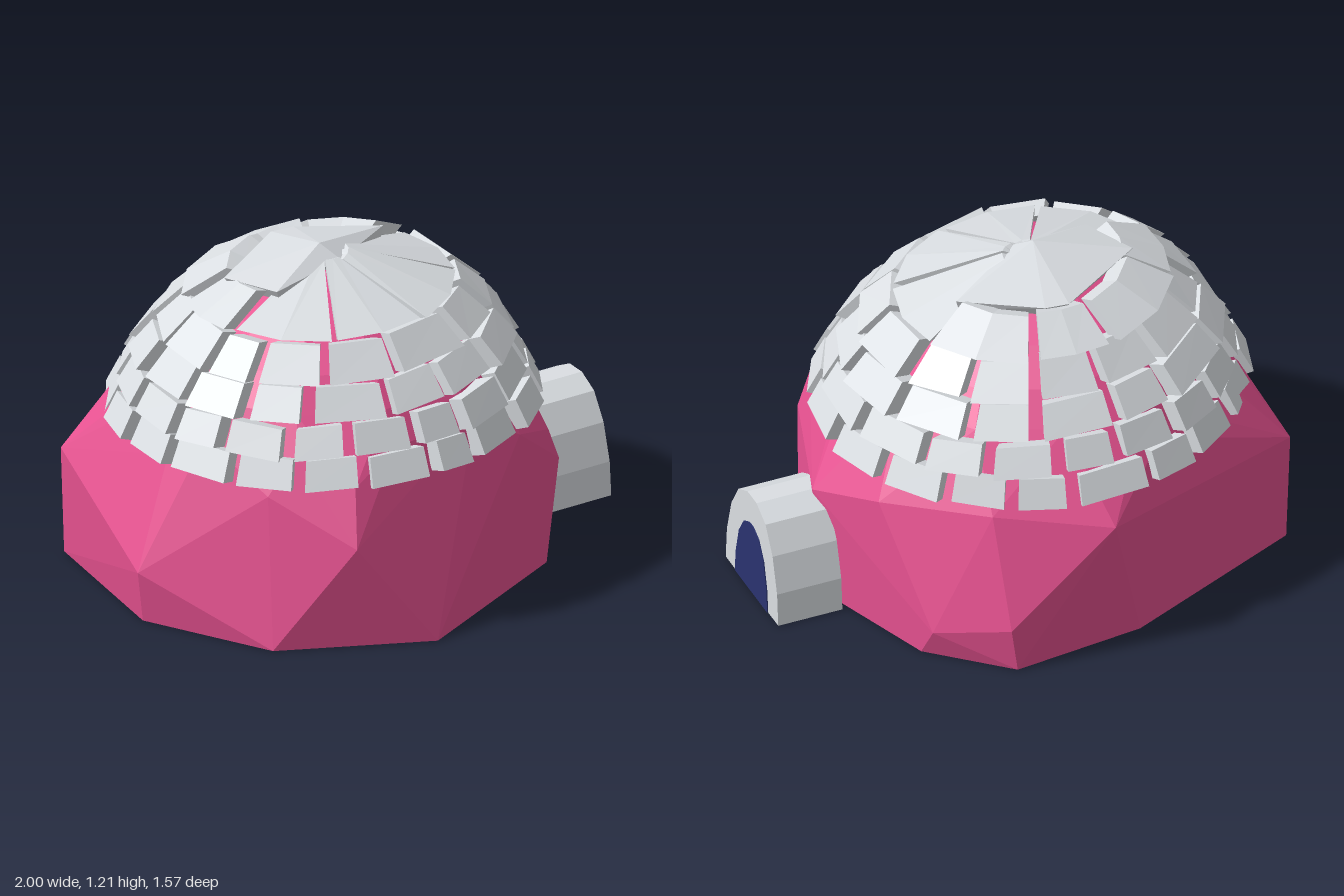
import * as THREE from 'three';
import { ConvexGeometry } from 'three/addons/geometries/ConvexGeometry.js';

const CX = -0.1; // dome centre in x

export function createModel() {
  const group = new THREE.Group();
  const mat = (name, color, side = THREE.FrontSide) => {
    const m = new THREE.MeshStandardMaterial({ color, flatShading: true, side });
    m.name = name;
    return m;
  };
  const pink = mat('pink rock', 0xe85291);
  const grey = mat('pale grey stone', 0xdbdfe3);
  const navy = mat('navy opening', 0x2a3370);
  const teal = mat('teal patch', 0x4fb0e0, THREE.DoubleSide);
  const blue = mat('blue patch', 0x3468e0, THREE.DoubleSide);

  let seed = 7;
  const rand = () => {
    seed = (seed * 16807) % 2147483647;
    return seed / 2147483647;
  };
  const jitter = (a) => (rand() - 0.5) * 2 * a;

  const add = (name, geometry, material, parent = group) => {
    const mesh = new THREE.Mesh(geometry, material);
    mesh.name = name;
    parent.add(mesh);
    return mesh;
  };
  const hull = (pts) => new ConvexGeometry(pts.map((p) => new THREE.Vector3(...p)));

  // Faceted rock body: ground outline, shoulder corners, then the dome core
  const ground = [
    [-0.47, 0.79], [0.27, 0.72], [0.6, 0.46], [0.74, 0.12], [0.74, -0.32],
    [0.57, -0.64], [0.08, -0.76], [-0.69, -0.71], [-0.97, -0.15], [-0.89, 0.37],
  ].map(([x, z]) => [x, 0, z]);
  const shoulders = [
    [0.37, 0.37, 0.7], [0.32, 0.5, 0.69], [0.11, 0.57, 0.72],
    [-0.71, 0.4, 0.61], [-0.64, 0.6, 0.55], [0.74, 0.42, 0.24],
    [0.72, 0.52, -0.08], [0.74, 0.11, -0.38], [0.59, 0.17, -0.63],
    [0.54, 0.57, -0.48], [0.22, 0.52, -0.78], [-0.71, 0.42, -0.71],
    [-0.58, 0.6, -0.58], [-1, 0.2, -0.15], [-0.82, 0.6, -0.15], [-0.8, 0.55, 0.28],
  ];
  const core = [[CX, 1.15, 0]];
  const levels = [
    [0.7, 0.7, 0.96], [0.82, 0.64, 0.94], [0.93, 0.55, 0.92], [1.03, 0.41, 0.92], [1.1, 0.25, 0.95],
  ];
  for (const [y, r, zScale] of levels) {
    for (let i = 0; i < 12; i++) {
      const a = (i / 12) * Math.PI * 2;
      core.push([CX + r * Math.sin(a), y, zScale * r * Math.cos(a)]);
    }
  }
  add('rockBody', hull([...ground, ...shoulders, ...core]), pink);

  // One stone: a box bent onto the dome, leaning from radius r0 up to r1
  function stone(parent, a0, a1, { y0, y1, r0, r1, zScale, thick, folds }) {
    const g = new THREE.BoxGeometry(1, 1, 1, folds, 1, 1);
    const p = g.attributes.position;
    const tilt = jitter(0.008);
    const push = jitter(0.012);
    for (let i = 0; i < p.count; i++) {
      const u = p.getX(i);
      const top = p.getY(i) > 0;
      const inner = p.getZ(i) < 0;
      const a = a0 + (u + 0.5) * (a1 - a0);
      const r = (top ? r1 : r0) + push - (inner ? thick : 0);
      const y = (top ? y1 : y0) + tilt * 2 * u - (inner ? thick * 0.35 : 0);
      p.setXYZ(i, CX + 1.02 * r * Math.sin(a), y, zScale * r * Math.cos(a));
    }
    add('stone', g, grey, parent);
  }

  // Rows of stones; joints are angles, 0 faces the front. The arc from the
  // last given joint to the end is shared out among the remaining stones.
  function row(name, joints, rest, end, gap, shape) {
    const ring = new THREE.Group();
    ring.name = name;
    group.add(ring);
    const last = joints[joints.length - 1];
    const step = (end - last) / rest;
    const cuts = [...joints];
    for (let i = 1; i < rest; i++) cuts.push(last + step * i + jitter(step * 0.12));
    cuts.push(end);
    for (let i = 0; i < cuts.length - 1; i++) {
      const half = (gap / 2) * (0.8 + rand() * 0.6);
      stone(ring, cuts[i] + half, cuts[i + 1] - half, shape);
    }
  }
  const full = Math.PI * 2;
  row('stoneRow1', [-0.71, -0.36, -0.1, 0.23, 0.58, 0.9, 1.3, 1.67, 2.01, 2.32], 10, full - 0.71, 0.065,
    { y0: 0.605, y1: 0.705, r0: 0.795, r1: 0.745, zScale: 0.97, thick: 0.08, folds: 1 });
  row('stoneRow2', [-0.41, -0.13, 0.22, 0.6, 0.98, 1.45, 1.87, 2.2], 11, full - 0.41, 0.065,
    { y0: 0.71, y1: 0.81, r0: 0.76, r1: 0.7, zScale: 0.95, thick: 0.08, folds: 1 });
  row('stoneRow3', [-0.5, -0.15, 0.25, 0.68, 1.17, 1.64, 2.09], 9, full - 0.5, 0.07,
    { y0: 0.825, y1: 0.925, r0: 0.715, r1: 0.625, zScale: 0.92, thick: 0.08, folds: 1 });
  row('stoneRow4', [-0.4, 0.16, 0.6, 1.05, 1.6, 2.05], 9, full - 0.4, 0.065,
    { y0: 0.935, y1: 1.04, r0: 0.635, r1: 0.515, zScale: 0.9, thick: 0.07, folds: 1 });
  row('backTopStones', [1.62], 4, 4.66, 0.08,
    { y0: 1.045, y1: 1.135, r0: 0.53, r1: 0.36, zScale: 0.92, thick: 0.06, folds: 2 });
  row('frontTopWedges', [-1.64, -0.78, 0, 0.82], 1, 1.64, 0.05,
    { y0: 1.04, y1: 1.17, r0: 0.49, r1: 0.09, zScale: 0.92, thick: 0.04, folds: 2 });

  // Pointed capstone
  const rim = [[-0.42, -0.2], [-0.02, -0.29], [0.06, -0.25], [0.26, 0], [-0.4, 0.02]];
  add('capstone', hull([
    ...rim.map(([x, z]) => [x, 1.13, z]),
    ...rim.map(([x, z]) => [x * 0.95, 1.09, z * 0.9]),
    [-0.1, 1.16, 0.08], [-0.12, 1.21, 0],
  ]), grey);

  // Arched entrance with a dark opening
  const arch = (half) => {
    const right = half.map(([x, y]) => new THREE.Vector2(x, y));
    const left = half.slice().reverse().map(([x, y]) => new THREE.Vector2(-x, y));
    return new THREE.Shape([...right, ...left]);
  };
  const entrance = new THREE.Group();
  entrance.name = 'entrance';
  entrance.position.set(0.92, 0, 0.363);
  entrance.rotation.y = 1.22;
  group.add(entrance);
  const tunnel = new THREE.ExtrudeGeometry(
    arch([[0.232, 0], [0.222, 0.13], [0.182, 0.27], [0.12, 0.37], [0.04, 0.412]]),
    { depth: 0.25, bevelEnabled: false });
  add('entranceArch', tunnel, grey, entrance).position.z = -0.25;
  const opening = new THREE.ExtrudeGeometry(
    arch([[0.143, 0], [0.136, 0.09], [0.108, 0.2], [0.065, 0.268], [0.018, 0.292]]),
    { depth: 0.004, bevelEnabled: false });
  add('entranceOpening', opening, navy, entrance);

  // Flat patches on the underside
  const patch = (name, pts, material) => {
    const shape = new THREE.Shape(pts.map(([x, z]) => new THREE.Vector2(x, z)));
    const mesh = add(name, new THREE.ShapeGeometry(shape), material);
    mesh.rotation.x = Math.PI / 2;
    mesh.position.y = -0.002;
  };
  patch('undersidePatch', [
    [0.12, 0.11], [-0.13, 0.27], [-0.15, -0.14], [-0.33, -0.02],
    [-0.38, -0.06], [-0.22, -0.22], [-0.06, -0.27], [0.14, -0.02],
  ], teal);
  patch('undersideChip', [[0.49, -0.15], [0.38, -0.2], [0.33, -0.29], [0.44, -0.22]], blue);
  patch('undersideChip', [[0, -0.35], [-0.16, -0.36], [-0.18, -0.53]], blue);

  return group;
}
